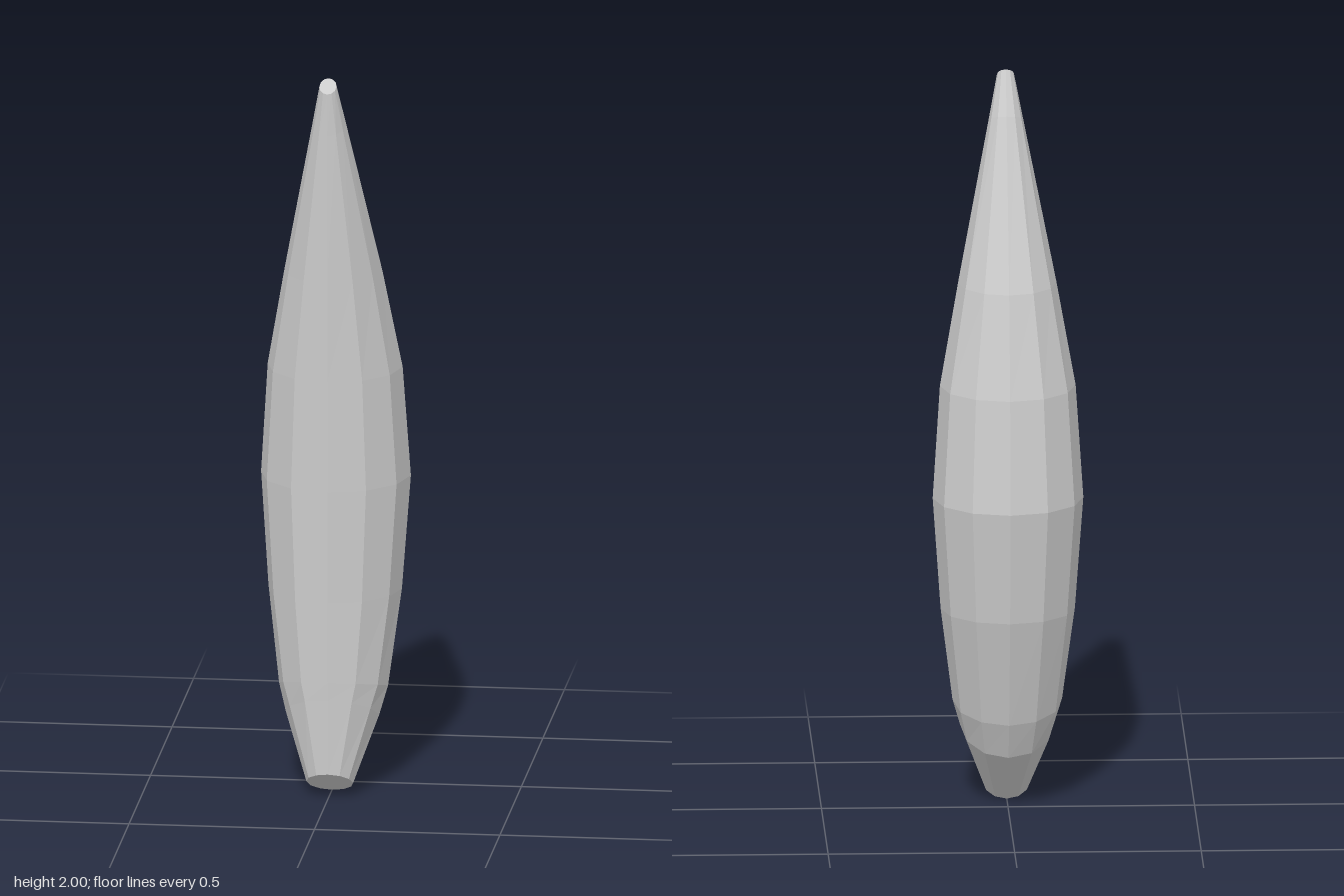
import * as THREE from 'three';

const SIDES = 12;

// Tilted rings, bottom to top: [front y, front z, back y, back z, half width]
const RINGS = [
  [0.075, 0.195, 0.005, 0.09, 0.063],
  [0.28, 0.196, 0.15, -0.04, 0.126],
  [0.33, 0.197, 0.25, -0.085, 0.147],
  [0.55, 0.198, 0.55, -0.163, 0.18],
  [0.86, 0.201, 0.86, -0.203, 0.202],
  [1.165, 0.2, 1.165, -0.165, 0.182],
  [1.44, 0.202, 1.44, -0.09, 0.132],
  [1.85, 0.204, 1.885, 0.105, 0.046],
  [1.965, 0.205, 2.0, 0.167, 0.023],
];

// Point on a ring; angle 0 is the front, a quarter turn is the left (+x)
function ringPoint([fy, fz, by, bz, r], i) {
  const a = (i / SIDES) * Math.PI * 2;
  const t = (1 - Math.cos(a)) / 2;
  return [r * Math.sin(a), fy + (by - fy) * t, fz + (bz - fz) * t];
}

function makeMesh(name, positions, index, material) {
  const geometry = new THREE.BufferGeometry();
  geometry.setAttribute('position', new THREE.Float32BufferAttribute(positions, 3));
  geometry.setIndex(index);
  geometry.computeVertexNormals();
  const mesh = new THREE.Mesh(geometry, material);
  mesh.name = name;
  return mesh;
}

export function createModel() {
  const group = new THREE.Group();
  group.name = 'taperedPod';
  const material = new THREE.MeshStandardMaterial({ color: 0xcccccc, flatShading: true });

  // Faceted shell lofted through the rings
  const positions = [];
  const index = [];
  RINGS.forEach((ring, k) => {
    for (let i = 0; i < SIDES; i++) {
      positions.push(...ringPoint(ring, i));
      if (k === RINGS.length - 1) continue;
      const a = k * SIDES + i;
      const b = k * SIDES + ((i + 1) % SIDES);
      index.push(a, b, b + SIDES, a, b + SIDES, a + SIDES);
    }
  });
  group.add(makeMesh('shell', positions, index, material));

  // Flat slanted ends
  const addCap = (name, ring, up) => {
    const points = [];
    const faces = [];
    for (let i = 0; i < SIDES; i++) {
      points.push(...ringPoint(ring, i));
      if (i > 1) faces.push(0, ...(up ? [i - 1, i] : [i, i - 1]));
    }
    group.add(makeMesh(name, points, faces, material));
  };
  addCap('bottomEnd', RINGS[0], false);
  addCap('topEnd', RINGS[RINGS.length - 1], true);

  return group;
}
